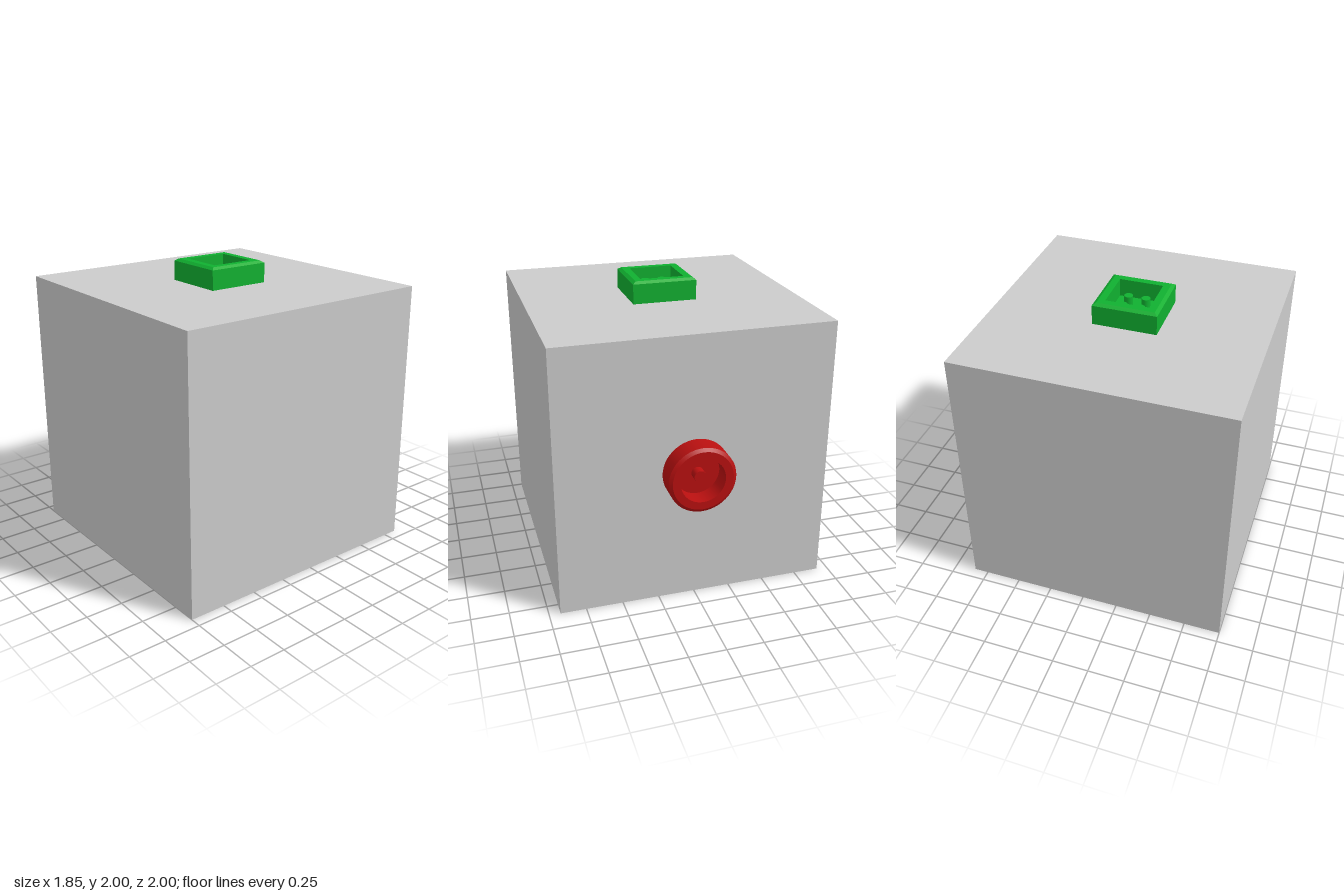
import * as THREE from 'three';
import { toCreasedNormals } from 'three/addons/utils/BufferGeometryUtils.js';

const material = (color) => new THREE.MeshStandardMaterial({ color });
const grey = material(0xcccccc), green = material(0x10b030), red = material(0xb81010);

function add(parent, name, geometry, mat, x = 0, y = 0, z = 0) {
  const mesh = new THREE.Mesh(geometry, mat);
  mesh.name = name;
  mesh.position.set(x, y, z);
  parent.add(mesh);
  return mesh;
}

// Chamfered cup with a recess; four sides give a square, many a round one
function cupGeometry(outer, inner, sides) {
  const height = 0.15, floor = 0.025, bevel = 0.015;
  const k = sides === 4 ? Math.SQRT2 : 1;
  const profile = [
    [outer, 0], [outer, height - bevel], [outer - bevel * 1.5, height],
    [inner, height], [inner, floor], [0, floor],
  ].map(([r, y]) => new THREE.Vector2(r * k, y));
  const start = sides === 4 ? Math.PI / 4 : 0;
  return toCreasedNormals(new THREE.LatheGeometry(profile, sides, start), 0.4);
}

export function createModel() {
  const model = new THREE.Group();
  model.name = 'cubeWithSockets';

  // Main block
  add(model, 'block', new THREE.BoxGeometry(1.85, 1.85, 1.85), grey, 0, 0.925, 0.075);

  // Square socket on top with four pins
  const square = new THREE.Group();
  square.name = 'squareSocket';
  square.position.set(0, 1.85, 0.075);
  add(square, 'squareCup', cupGeometry(0.22, 0.15, 4), green);
  for (const x of [-0.06, 0.06]) {
    for (const z of [-0.06, 0.06]) {
      add(square, 'squareSocketPin', new THREE.CylinderGeometry(0.03, 0.03, 0.065, 24), green, x, 0.0575, z);
    }
  }
  model.add(square);

  // Round socket on the back with one central pin
  const round = new THREE.Group();
  round.name = 'roundSocket';
  round.position.set(0, 0.925, -0.85);
  round.rotation.x = -Math.PI / 2;
  add(round, 'roundCup', cupGeometry(0.225, 0.15, 48), red);
  add(round, 'roundSocketPin', new THREE.CylinderGeometry(0.04, 0.04, 0.065, 32), red, 0, 0.0575, 0);
  model.add(round);

  return model;
}
